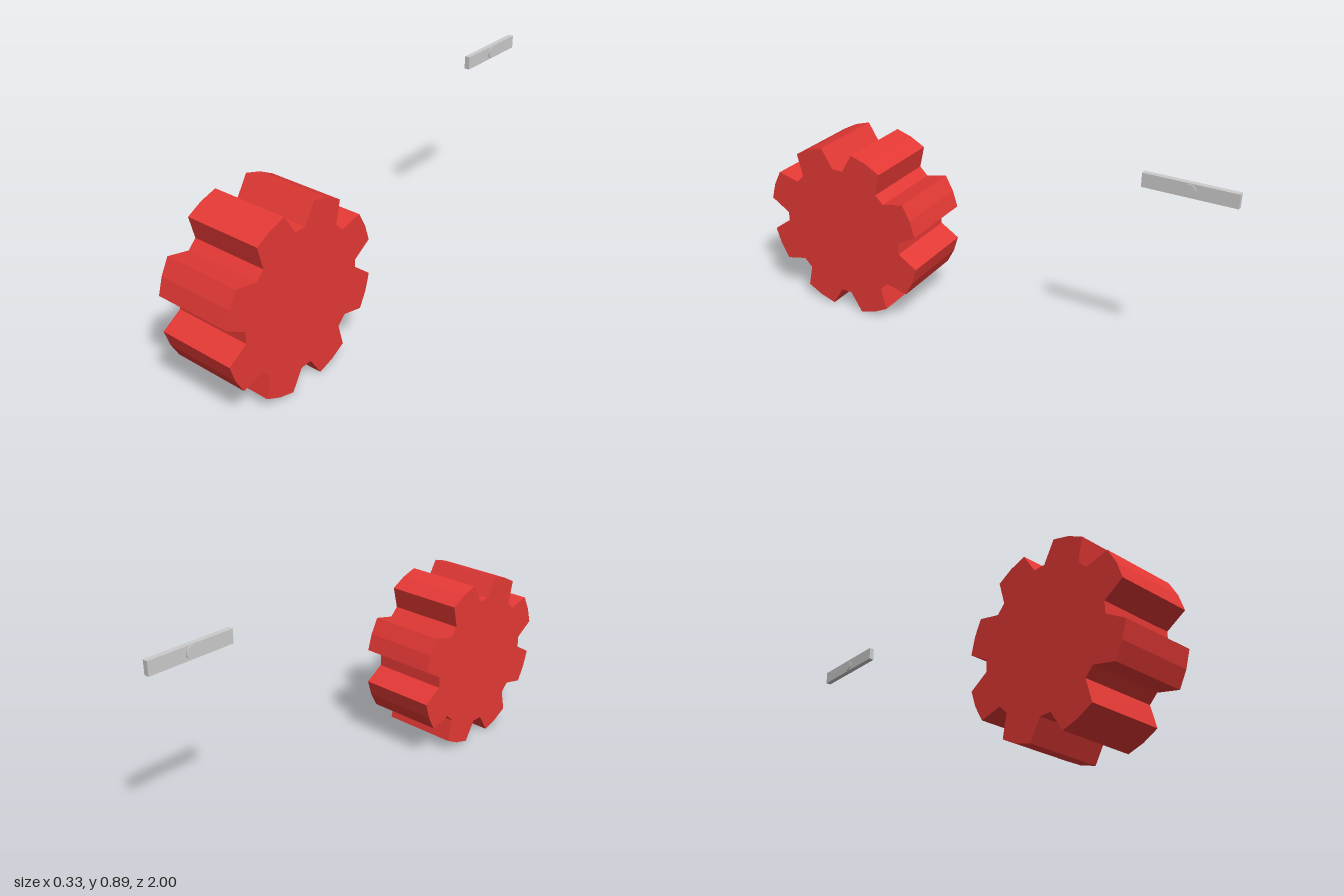
import * as THREE from 'three';

const red = new THREE.MeshStandardMaterial({ color: 0xe53935, flatShading: true });
const grey = new THREE.MeshStandardMaterial({ color: 0xcccccc, flatShading: true });

function addPart(group, name, geometry, material, x, y, z) {
  const mesh = new THREE.Mesh(geometry, material);
  mesh.name = name;
  mesh.position.set(x, y, z);
  group.add(mesh);
  return mesh;
}

// Spur gear outline: each tooth has two root points and a three-point rounded tip
function gearGeometry(teeth, rootRadius, tipRadius, width) {
  const profile = [
    [-17.6, rootRadius], [-11, tipRadius], [0, tipRadius], [11, tipRadius], [17.6, rootRadius],
  ];
  const points = [];
  for (let i = 0; i < teeth; i++) {
    for (const [offset, r] of profile) {
      const a = THREE.MathUtils.degToRad((i + 0.5) * 360 / teeth + offset);
      points.push(new THREE.Vector2(Math.cos(a) * r, Math.sin(a) * r));
    }
  }
  const geometry = new THREE.ExtrudeGeometry(new THREE.Shape(points), { depth: width, bevelEnabled: false });
  geometry.translate(0, 0, -width / 2);
  geometry.rotateY(Math.PI / 2);
  return geometry;
}

export function createModel() {
  const model = new THREE.Group();
  model.name = 'gearAndPointer';

  // Wide gear, axle along x
  addPart(model, 'gear', gearGeometry(8, 0.292, 0.382, 0.332), red, 0, 0.376, 0.626);

  // Small separate bar with a pivot pin through its middle
  const pointer = new THREE.Group();
  pointer.name = 'pointer';
  pointer.position.set(0, 0.86, -0.82);
  addPart(pointer, 'pointerBar', new THREE.BoxGeometry(0.022, 0.056, 0.36), grey, 0, 0, 0);
  const pin = new THREE.CylinderGeometry(0.025, 0.025, 0.031, 16);
  pin.rotateZ(Math.PI / 2);
  addPart(pointer, 'pivotPin', pin, grey, 0, 0, 0);
  model.add(pointer);

  return model;
}
